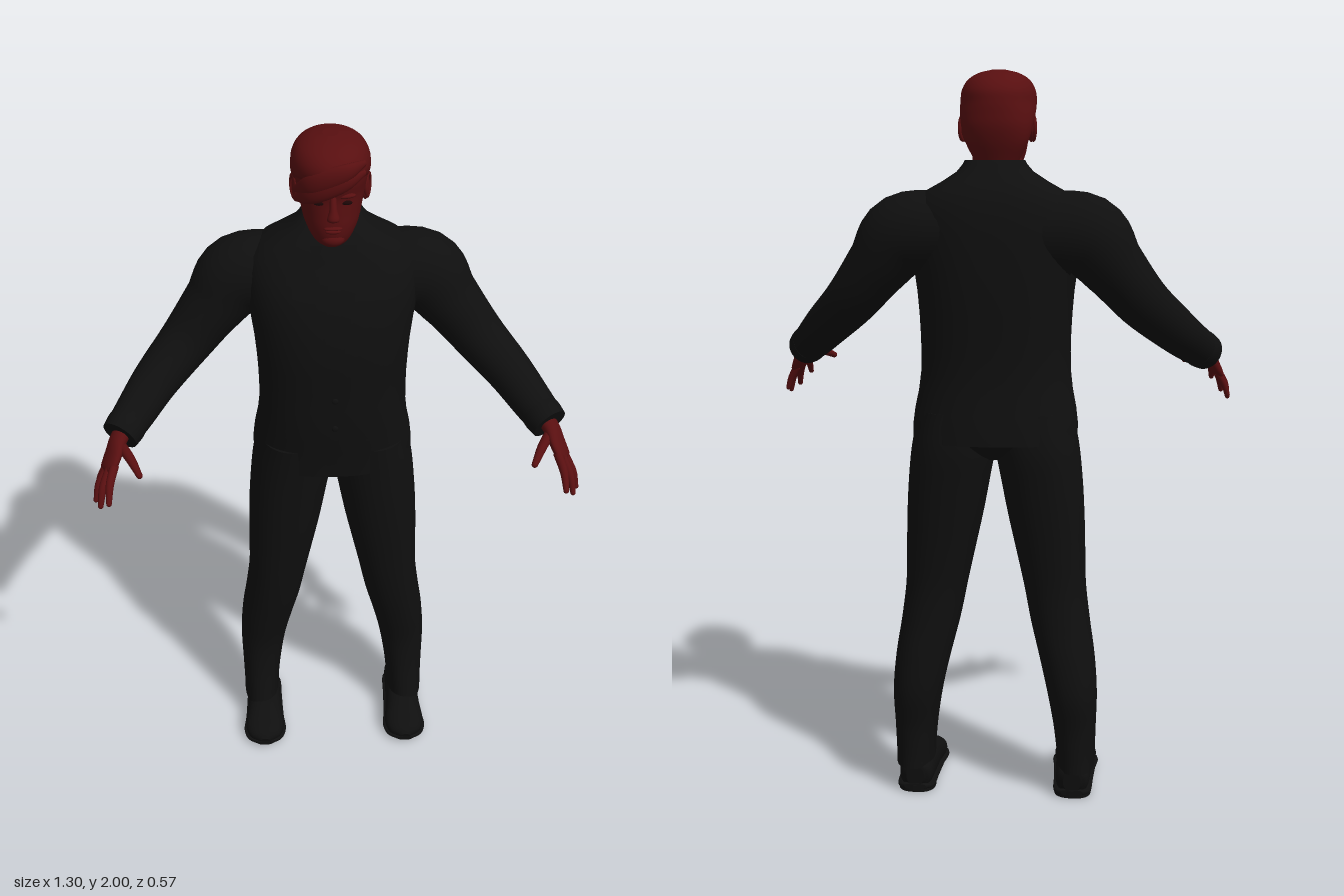
import * as THREE from 'three';

const V = (x, y, z) => new THREE.Vector3(x, y, z);
const mat = (name, color) => {
  const m = new THREE.MeshStandardMaterial({ color, side: THREE.DoubleSide });
  m.name = name;
  return m;
};

// Closed loft through stations [x, y, z, ru, rv]; rings are superellipses of power n.
function loft(stations, { uRef = V(1, 0, 0), level = false, n = 2, sub = 5, seg = 36, floor = -1 } = {}) {
  const path = new THREE.CatmullRomCurve3(stations.map(s => V(s[0], s[1], s[2])), false, 'catmullrom');
  const radii = new THREE.CatmullRomCurve3(stations.map(s => V(s[3], s[4], 0)), false, 'catmullrom');
  const steps = (stations.length - 1) * sub, pos = [], idx = [];
  const ring = (k, scale) => {
    const c = path.getPoint(k / steps), r = radii.getPoint(k / steps);
    const t = level ? V(0, 1, 0) : path.getTangent(k / steps);
    const v = t.clone().cross(uRef).normalize(), u = v.clone().cross(t);
    for (let j = 0; j < seg; j++) {
      const a = j / seg * Math.PI * 2, p = c.clone();
      const pw = q => Math.sign(q) * Math.abs(q) ** (2 / n) * scale;
      p.addScaledVector(u, r.x * pw(Math.cos(a))).addScaledVector(v, r.y * pw(Math.sin(a)));
      pos.push(p.x, Math.max(p.y, floor), p.z);
    }
  };
  // Doubled end rings keep the cap edges crisp.
  ring(0, 0.001); ring(0, 1);
  for (let k = 0; k <= steps; k++) ring(k, 1);
  ring(steps, 1); ring(steps, 0.001);
  for (let i = 0; i < steps + 4; i++) for (let j = 0; j < seg; j++) {
    const a = i * seg + j, b = i * seg + (j + 1) % seg;
    idx.push(a, b, b + seg, a, b + seg, a + seg);
  }
  const g = new THREE.BufferGeometry();
  g.setAttribute('position', new THREE.Float32BufferAttribute(pos, 3));
  g.setIndex(idx);
  g.computeVertexNormals();
  return g;
}

// Level sections [y, half width, front z, back z], optionally shifted in x.
const slices = (rows, x = 0) => rows.map(([y, w, f, b]) => [x, y, (f + b) / 2, w, (f - b) / 2]);

const JACKET = [
  [1.02, .225, .04, -.28], [1.06, .225, .042, -.277], [1.1, .22, .046, -.272], [1.15, .21, .052, -.266],
  [1.2, .204, .056, -.262], [1.25, .203, .057, -.263], [1.3, .204, .057, -.265], [1.36, .207, .06, -.269],
  [1.42, .212, .06, -.272], [1.48, .22, .053, -.273], [1.53, .228, .044, -.272], [1.58, .232, .03, -.27],
  [1.62, .23, .012, -.265], [1.655, .218, -.006, -.257], [1.685, .185, -.02, -.245], [1.71, .14, -.032, -.228],
  [1.735, .102, -.055, -.205], [1.755, .085, -.08, -.188], [1.765, .08, -.095, -.178],
];

// Depth of the jacket surface at (x, y); side is 1 in front and -1 behind.
function jacketZ(x, y, side) {
  let i = 0;
  while (i < JACKET.length - 2 && JACKET[i + 1][0] < y) i++;
  const A = JACKET[i], B = JACKET[i + 1], t = (y - A[0]) / (B[0] - A[0]);
  const [w, f, b] = [1, 2, 3].map(k => A[k] + (B[k] - A[k]) * t);
  return (f + b) / 2 + side * (f - b) / 2 * Math.max(0, 1 - Math.abs(x / w) ** 2.4) ** (1 / 2.4);
}

// Thin cloth plate following the jacket, from rows [y, x from, x to].
function plate(rows, off, side = 1, s = 1) {
  const pos = [], idx = [], R = 8, C = 6, n = (rows.length - 1) * R;
  for (let i = 0; i <= n; i++) {
    const k = Math.min(Math.floor(i / R), rows.length - 2), t = i / R - k;
    const [y, a, b] = [0, 1, 2].map(q => rows[k][q] + (rows[k + 1][q] - rows[k][q]) * t);
    for (let j = 0; j <= C; j++) {
      const x = s * (a + (b - a) * j / C), p = i * (C + 1) + j;
      pos.push(x, y, jacketZ(x, y, side) + side * off);
      if (i < n && j < C) {
        const q = [p, p + C + 1, p + 1, p + 1, p + C + 1, p + C + 2];
        idx.push(...(s * side > 0 ? q : q.reverse()));
      }
    }
  }
  const g = new THREE.BufferGeometry();
  g.setAttribute('position', new THREE.Float32BufferAttribute(pos, 3));
  g.setIndex(idx);
  g.computeVertexNormals();
  return g;
}

export function createModel() {
  const root = new THREE.Group();
  const cloth = mat('blackCloth', 0x0f0f0f), skin = mat('darkRed', 0x580f10), dark = mat('eyeDark', 0x1c0606);
  const add = (name, geo, m) => {
    const mesh = new THREE.Mesh(geo, m);
    mesh.name = name;
    root.add(mesh);
    return mesh;
  };
  const blob = (name, m, p, r) => {
    const b = add(name, new THREE.SphereGeometry(1, 20, 14), m);
    b.position.set(...p);
    b.scale.set(...r);
    return b;
  };

  // Jacket body, trouser seat and neck
  add('jacket', loft(slices(JACKET), { level: true, n: 2.4, sub: 1, seg: 56 }), cloth);
  add('trouserSeat', loft(slices([[.965, .05, -.04, -.18], [.99, .13, .0, -.23], [1.03, .2, .025, -.26],
    [1.1, .2, .03, -.255]]), { level: true, n: 2.4 }), cloth);
  add('neck', loft(slices([[1.64, .075, -.03, -.18], [1.7, .07, -.035, -.172], [1.75, .066, -.035, -.168],
    [1.8, .066, -.03, -.17]], -.003), { level: true }), skin);

  // Tie, front edge, buttons and back vent
  add('tie', plate([[1.69, -.02, .02], [1.645, -.014, .014], [1.4, -.03, .03], [1.31, -.008, .008]], .005), cloth);
  add('frontEdge', plate([[1.32, -.012, .012], [1.1, -.012, .01], [1.03, -.03, .0]], .005), cloth);
  add('backVent', plate([[1.24, -.004, .004], [1.025, -.012, .012]], .005, -1), cloth);
  for (const y of [1.29, 1.2]) blob('button', cloth, [0, y, jacketZ(0, y, 1) + .006], [.009, .009, .004]);

  // Head, hair and swept fringe
  add('head', loft(slices([[1.718, .03, -.005, -.1], [1.732, .048, .012, -.135], [1.755, .062, .022, -.163],
    [1.785, .073, .025, -.175], [1.82, .08, .024, -.187], [1.86, .088, .024, -.198], [1.9, .094, .034, -.2],
    [1.94, .094, .034, -.195], [1.97, .08, .01, -.175], [1.988, .05, -.03, -.13]], -.004),
  { level: true, n: 2.15 }), skin);
  add('hair', loft(slices([[1.765, .06, -.095, -.172], [1.81, .082, -.09, -.192], [1.85, .094, -.06, -.204],
    [1.885, .1, -.01, -.207], [1.915, .101, .042, -.207], [1.945, .098, .048, -.202], [1.972, .083, .03, -.18],
    [1.99, .055, -.005, -.145], [1.999, .02, -.05, -.1]], -.005), { level: true, n: 2.1 }), skin);
  for (const [dy, dz] of [[0, 0], [.025, .003]]) {
    add('fringeLock', loft([[.075, 1.925 + dy, .0, .008, .006], [.035, 1.92 + dy, .034 + dz, .022, .012],
      [-.02, 1.9 + dy, .036 + dz, .028, .014], [-.065, 1.875 + dy, .016 + dz, .024, .012],
      [-.096, 1.845 + dy, -.03, .008, .006]], { uRef: V(0, 1, 0), seg: 20 }), skin);
  }

  // Nose, lips and chin
  add('nose', loft([[-.003, 1.872, .02, .008, .008], [-.003, 1.84, .03, .01, .012], [-.003, 1.817, .036, .016, .014],
    [-.003, 1.806, .027, .012, .008]], { level: true, seg: 20 }), skin);
  blob('upperLip', skin, [-.003, 1.785, .024], [.024, .005, .008]);
  blob('lowerLip', skin, [-.003, 1.776, .023], [.02, .006, .008]);
  blob('chin', skin, [-.003, 1.748, .006], [.03, .02, .02]);

  for (const s of [1, -1]) {
    // Eyes, brows and ears
    blob('eye', dark, [s * .034 - .003, 1.852, .016], [.014, .006, .006]);
    blob('brow', skin, [s * .035 - .003, 1.871, .018], [.022, .006, .009]).rotation.z = s * .12;
    const ear = blob('ear', skin, [s * .088 - .004, 1.845, -.09], [.01, .034, .02]);
    ear.rotation.set(-.2, -s * .3, 0);
    const rim = add('earRim', new THREE.TorusGeometry(.022, .005, 8, 24), skin);
    rim.position.set(s * .094 - .004, 1.848, -.092);
    rim.rotation.y = Math.PI / 2 - s * .3;
    rim.scale.y = 1.35;

    // Lapels, shirt collar and pocket flaps
    add('lapel', plate([[1.72, .062, .09], [1.62, .06, .125], [1.575, .05, .115], [1.32, .0, .018]], .009, 1, s), cloth);
    add('shirtCollar', plate([[1.71, .012, .062], [1.64, .03, .045]], .007, 1, s), cloth);
    add('pocketFlap', plate([[1.155, .085, .18], [1.115, .085, .185]], .007, 1, s), cloth);

    // Sleeve and turned cuff
    const round = { uRef: V(0, 0, 1) };
    add('sleeve', loft([[s * .13, 1.575, -.147, .105, .11], [s * .245, 1.565, -.15, .1, .112],
      [s * .315, 1.488, -.138, .088, .087], [s * .395, 1.392, -.107, .073, .073], [s * .48, 1.312, -.035, .063, .063],
      [s * .535, 1.262, .042, .054, .056], [s * .572, 1.232, .1, .048, .05]], round), cloth);
    add('cuff', loft([[s * .552, 1.248, .068, .052, .053], [s * .562, 1.24, .084, .053, .054],
      [s * .576, 1.229, .106, .05, .051]], round), cloth);

    // Palm, with thumb and fingers given as knuckle, middle joint and tip
    add('palm', loft([[s * .56, 1.243, .08, .028, .023], [s * .58, 1.222, .115, .032, .022],
      [s * .594, 1.195, .148, .044, .018], [s * .606, 1.173, .172, .043, .015], [s * .612, 1.164, .18, .03, .008]],
    { uRef: V(-s * .3, .25, .75).normalize(), seg: 24 }), skin);
    const fingers = [
      [[.572, 1.216, .135], [.545, 1.208, .185], [.52, 1.188, .233], .013],
      [[.588, 1.19, .19], [.598, 1.168, .24], [.601, 1.132, .278], .011],
      [[.602, 1.178, .183], [.62, 1.142, .22], [.628, 1.1, .245], .011],
      [[.61, 1.17, .165], [.634, 1.13, .186], [.645, 1.087, .2], .0105],
      [[.612, 1.165, .142], [.632, 1.13, .15], [.643, 1.1, .152], .0095],
    ];
    fingers.forEach(([a, b, c, r], i) => {
      const st = [[...a, r * 1.1, r * 1.1], [...b, r, r], [...c, r * .65, r * .65]];
      const m = st.map(p => [s * p[0], ...p.slice(1)]);
      add(i ? 'finger' : 'thumb', loft(m, { uRef: V(s, 0, 0), seg: 14 }), skin);
      blob('fingertip', skin, m[2].slice(0, 3), [r * .65, r * .65, r * .65]);
    });

    // Trouser leg from rows [y, outer x, inner x, front z, back z]
    const leg = [[.075, .283, .177, -.005, -.215], [.12, .283, .174, -.015, -.215], [.2, .285, .165, -.03, -.22],
      [.3, .287, .148, -.036, -.238], [.4, .279, .125, -.022, -.235], [.5, .264, .1, -.006, -.224],
      [.6, .252, .08, .006, -.22], [.7, .249, .058, .014, -.228], [.8, .246, .036, .021, -.24],
      [.9, .24, .017, .026, -.252], [1, .229, .0, .03, -.262], [1.1, .208, .0, .035, -.255]];
    add('trouserLeg', loft(leg.map(([y, o, i, f, b]) => [s * (o + i) / 2, y, (f + b) / 2, (o - i) / 2, (f - b) / 2]),
      { level: true, n: 2.3 }), cloth);

    // Shoe upper, sole and heel
    const x = s * .222, shoe = [[-.2, .048, .025, .03], [-.18, .05, .046, .045], [-.1, .05, .05, .055],
      [-.02, .045, .054, .048], [.04, .036, .06, .036], [.08, .03, .047, .026], [.1, .026, .015, .01]];
    add('shoe', loft(shoe.map(([z, y, w, h]) => [x, y, z, w, h]), { n: 2.2, floor: .012 }), cloth);
    add('sole', loft(shoe.map(([z, , w]) => [x, .016, z, w + .006, .008]), { n: 3 }), cloth);
    add('heel', loft([[x, 0, -.145, .052, .056], [x, .02, -.145, .052, .056]], { level: true, n: 2.6 }), cloth);
  }
  return root;
}
